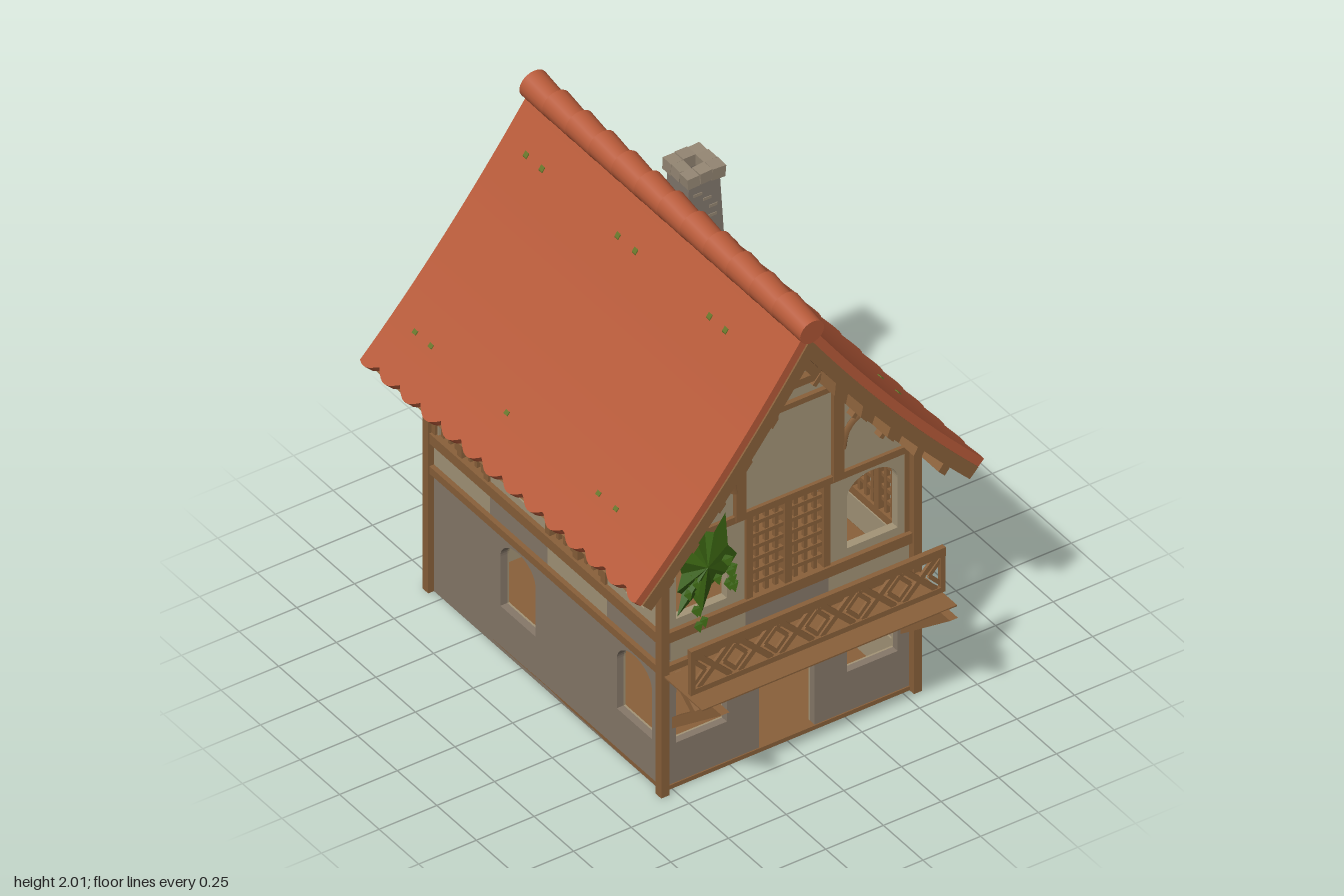
import * as THREE from 'three';

const mat = (name, color, extra = {}) => Object.assign(new THREE.MeshStandardMaterial({ color, ...extra }), { name });

export function createModel() {
  const M = {
    wood: mat('timber', 0x89603a),
    plaster: mat('plaster', 0xa39477),
    stone: mat('stone wall', 0x867869),
    tile: mat('roof tile', 0xb75a39),
    chimney: mat('chimney stone', 0x7f756a),
    cap: mat('cap stone', 0x948673),
    ivy: mat('ivy', 0x3a6412, { side: THREE.DoubleSide }),
    moss: mat('moss', 0x66752a),
  };
  const model = new THREE.Group();
  const house = new THREE.Group();
  house.name = 'house';
  house.position.z = -0.085;
  model.add(house);
  let seed = 7;
  const rnd = () => (seed = (seed * 16807) % 2147483647) / 2147483647;

  const add = (parent, name, geo, m) => {
    const mesh = new THREE.Mesh(geo, m);
    mesh.name = name;
    parent.add(mesh);
    return mesh;
  };
  const box = (p, name, m, x0, x1, y0, y1, z0, z1) => {
    const b = add(p, name, new THREE.BoxGeometry(x1 - x0, y1 - y0, z1 - z0), m);
    b.position.set((x0 + x1) / 2, (y0 + y1) / 2, (z0 + z1) / 2);
    return b;
  };
  // straight timber between two points of a facade
  const bar = (p, name, x1, y1, x2, y2, w, z0, z1) => {
    const b = add(p, name, new THREE.BoxGeometry(Math.hypot(x2 - x1, y2 - y1), w, z1 - z0), M.wood);
    b.position.set((x1 + x2) / 2, (y1 + y2) / 2, (z0 + z1) / 2);
    b.rotation.z = Math.atan2(y2 - y1, x2 - x1);
  };
  // flat plate from an outline, with arched openings [centre, halfWidth, bottom, top]
  const plate = (p, name, m, pts, holes, z0, z1) => {
    const s = new THREE.Shape(pts.map(([x, y]) => new THREE.Vector2(x, y)));
    for (const [c, w, b, t] of holes) {
      const r = w * 0.75, h = new THREE.Path();
      h.moveTo(c - w, b);
      h.lineTo(c + w, b);
      h.lineTo(c + w, t - r);
      h.absellipse(c, t - r, w, r, 0, Math.PI, false);
      s.holes.push(h);
    }
    const g = new THREE.ExtrudeGeometry(s, { depth: z1 - z0, bevelEnabled: false, curveSegments: 12 });
    return add(p, name, g.translate(0, 0, z0), m);
  };
  const rect = (x0, x1, y0, y1) => [[x0, y0], [x1, y0], [x1, y1], [x0, y1]];

  // roof curve, and a bent slab lying d0..d1 below it
  const roofY = x => 1.95 - 1.43 * x + 0.28 * x * x;
  const stretch = x => Math.hypot(1, 1.43 - 0.56 * x);
  const under = x => roofY(x) - 0.095 * stretch(x);
  const slab = (p, name, m, x0, x1, d0, d1, z0, z1, nx = 1, nz = 1, scallop = 0) => {
    const g = new THREE.BoxGeometry(1, 1, 1, nx, 1, nz), a = g.attributes.position;
    for (let i = 0; i < a.count; i++) {
      const t = a.getX(i) + 0.5, d = d0 + (d1 - d0) * (0.5 - a.getY(i)), z = z0 + (z1 - z0) * (a.getZ(i) + 0.5);
      let x = x0 + (x1 - x0) * t;
      if (t > 0.99) x -= scallop * (1 - Math.abs(Math.sin(Math.PI * z / 0.13)));
      const n = (1.43 - 0.56 * x) / stretch(x);
      x -= (x / 0.755) * n * d;
      a.setXYZ(i, x, roofY(x) - d * stretch(x), z);
    }
    g.computeVertexNormals();
    return add(p, name, g, m);
  };

  // roof halves
  for (const side of [1, -1]) {
    const half = new THREE.Group();
    half.name = side > 0 ? 'leftRoof' : 'rightRoof';
    half.scale.x = side;
    house.add(half);
    slab(half, 'roofTiles', M.tile, 0, 0.76, 0, 0.035, -0.875, 0.868, 24, 108, 0.025);
    slab(half, 'roofBoards', M.wood, 0, 0.752, 0.035, 0.088, -0.885, 0.875, 24, 1);
    for (const z of [-0.755, 0.725]) slab(half, 'gableRafter', M.wood, 0, 0.6, 0.085, 0.125, z, z + 0.03, 16, 1);
    for (const x of [0.14, 0.27, 0.4, 0.53, 0.65]) slab(half, 'purlin', M.wood, x, x + 0.03, 0.085, 0.125, -0.86, 0.85);
    for (const [x, zs] of [[0.125, [0.525, 0.425, -0.045, -0.155, -0.635, -0.735]], [0.605, [0.535, 0.425, -0.155, -0.635, -0.735]]])
      for (const z of zs) slab(half, 'mossPatch', M.moss, x, x + 0.012, -0.004, 0.003, z - 0.01, z + 0.012);
  }
  // overlapping ridge tiles, rising towards the back
  for (let i = 0; i < 12; i++) {
    const t = add(house, 'ridgeTile', new THREE.CylinderGeometry(0.052, 0.06, 0.17, 20), M.tile);
    t.position.set(0, 1.937, 0.8 - i * 0.145);
    t.rotation.x = Math.PI / 2 + 0.1;
  }

  // floors and corner posts
  box(house, 'groundFloor', M.wood, -0.54, 0.54, 0.002, 0.02, -0.73, 0.73);
  box(house, 'upperFloor', M.wood, -0.5, 0.5, 0.535, 0.565, -0.69, 0.69);
  for (const x of [-1, 1]) for (const z of [-1, 1])
    box(house, 'cornerPost', M.wood, x * 0.5475 - 0.0175, x * 0.5475 + 0.0175, 0, 1.1, z * 0.737 - 0.018, z * 0.737 + 0.018);

  const lattice = (p, x0, x1) => {
    const c = (x0 + x1) / 2, y0 = 0.71, y1 = 1.085;
    for (const x of [x0, c, x1]) box(p, 'latticePost', M.wood, x - 0.015, x + 0.015, y0, y1, -0.03, 0.01);
    for (let i = 1; i < 8; i++) if (i !== 4) {
      const x = x0 + (x1 - x0) * i / 8;
      box(p, 'latticeUpright', M.wood, x - 0.008, x + 0.008, y0, y1, -0.02, -0.004);
    }
    for (let i = 1; i < 7; i++) {
      const y = y0 + (y1 - y0) * i / 7;
      box(p, 'latticeCrossbar', M.wood, x0, x1, y - 0.008, y + 0.008, -0.018, 0);
    }
  };

  // one facade: lower wall, panel band, beams and upper bays
  const facade = (name, halfW, lowHoles, edges, bays, arch, place) => {
    const f = new THREE.Group();
    f.name = name;
    place(f);
    house.add(f);
    const w = halfW - 0.002;
    plate(f, 'lowerWall', M.stone, rect(-w, w, 0, 0.54), lowHoles, -0.03, 0);
    plate(f, 'lowerWallLining', M.plaster, rect(-w + 0.03, w - 0.03, 0.003, 0.54), lowHoles, -0.038, -0.03);
    box(f, 'lowerBeam', M.wood, -w, w, 0.535, 0.568, -0.03, 0.02);
    box(f, 'sillBeam', M.wood, -w, w, 0.67, 0.715, -0.03, 0.02);
    box(f, 'topBeam', M.wood, -w, w, 1.08, 1.11, -0.03, 0.015);
    bays.forEach((open, i) => {
      const a = edges[i], b = edges[i + 1];
      box(f, 'bandPanel', i % 2 ? M.stone : M.plaster, a, b, 0.56, 0.68, -0.035, 0);
      if (open) lattice(f, a + 0.012, b - 0.012);
      else plate(f, 'upperWall', M.plaster, rect(a, b, 0.7, 1.09), [[(a + b) / 2 + Math.sign(a + b) * arch[2], arch[0], 0.75, arch[1]]], -0.035, 0);
    });
    return f;
  };
  const ends = [-0.54, -0.18, 0.18, 0.54], winds = [[-0.37, 0.11, 0.196, 0.5], [0.37, 0.11, 0.196, 0.5]];
  const front = facade('frontFacade', 0.54, [...winds, [0, 0.12, 0.004, 0.456]], ends, [0, 1, 0], [0.11, 1.055, 0.01],
    f => f.position.set(0, 0, 0.725));
  const back = facade('backFacade', 0.54, winds, ends, [0, 1, 0], [0.11, 1.055, 0.01],
    f => { f.position.z = -0.725; f.rotation.y = Math.PI; });
  const bayEdges = [-0.725, -0.365, 0, 0.375, 0.725];
  const sides = [1, -1].map(s => facade(s > 0 ? 'leftFacade' : 'rightFacade', 0.725,
    [[-0.548 * s, 0.111, 0.196, 0.5], [0.188 * s, 0.111, 0.196, 0.5]], bayEdges, [1, 0, 1, 0], [0.06, 1.04, 0],
    f => { f.position.x = 0.54 * s; f.rotation.y = s * Math.PI / 2; }));

  // gables with their timber framing
  for (const f of [front, back]) {
    const xs = [0.56, 0.45, 0.34, 0.22, 0.1], top = xs.map(x => [x, under(x)]);
    plate(f, 'gableWall', M.plaster, [[-0.56, 1.085], [0.56, 1.085], ...top, [0, under(0)], ...top.map(([x, y]) => [-x, y]).reverse()], [], -0.03, 0);
    box(f, 'collarBeam', M.wood, -0.21, 0.21, 1.498, 1.522, 0, 0.02);
    box(f, 'upperCollar', M.wood, -0.145, 0.145, 1.588, 1.62, 0, 0.03);
    box(f, 'kingPost', M.wood, -0.012, 0.012, 1.6, 1.79, 0, 0.022);
    for (const s of [-1, 1]) {
      box(f, 'gablePost', M.wood, s * 0.212 - 0.022, s * 0.212 + 0.022, 1.09, 1.5, 0, 0.022);
      bar(f, 'kingBrace', s * 0.01, 1.66, s * 0.06, 1.71, 0.016, 0, 0.02);
      const c = new THREE.QuadraticBezierCurve3(new THREE.Vector3(s * 0.235, 1.22, 0.012),
        new THREE.Vector3(s * 0.245, 1.345, 0.012), new THREE.Vector3(s * 0.35, 1.345, 0.012));
      add(f, 'archedBrace', new THREE.TubeGeometry(c, 10, 0.016, 4), M.wood);
      for (const x of [0.13, 0.3, 0.42]) bar(f, 'rafterPeg', s * x, under(x), s * (x - 0.035), under(x) - 0.04, 0.02, 0, 0.035);
    }
  }

  // balcony: floor, railing with crossed slats, struts
  const balcony = new THREE.Group();
  balcony.name = 'balcony';
  front.add(balcony);
  box(balcony, 'balconyFloor', M.wood, -0.552, 0.552, 0.534, 0.54, 0, 0.27);
  box(balcony, 'topRail', M.wood, -0.552, 0.552, 0.717, 0.755, 0.178, 0.2);
  box(balcony, 'bottomRail', M.wood, -0.552, 0.552, 0.557, 0.58, 0.18, 0.198);
  for (const x of [-0.542, 0.542]) box(balcony, 'railPost', M.wood, x - 0.01, x + 0.01, 0.56, 0.74, 0.18, 0.198);
  for (let i = 0; i < 6; i++) {
    const c = -0.445 + i * 0.178, h = 0.07, m = 0.648;
    for (const s of [-1, 1]) {
      bar(balcony, 'railCross', c - h, m - s * h, c + h, m + s * h, 0.022, 0.182, 0.194);
      for (const e of [-1, 1]) bar(balcony, 'railChevron', c + s * 0.04, m, c + s * 0.092, m + e * 0.055, 0.016, 0.183, 0.193);
    }
  }
  for (const x of [-0.495, 0.495]) {
    const strut = new THREE.Group();
    strut.name = 'balconyStrut';
    strut.position.x = x;
    strut.rotation.y = -Math.PI / 2;
    balcony.add(strut);
    plate(strut, 'strutBeam', M.wood, [[0.02, 0.285], [0.335, 0.54], [0.275, 0.54], [0.02, 0.335]], [], -0.017, 0.017);
    bar(strut, 'strutBrace', 0.165, 0.425, 0.02, 0.53, 0.032, -0.014, 0.014);
  }

  // chimney: hollow tapered shaft with a ring of cap stones
  const chimney = new THREE.Group();
  chimney.name = 'chimney';
  chimney.position.set(0.35, 1.4, -0.375);
  house.add(chimney);
  const ring = new THREE.Shape(rect(-0.08, 0.08, -0.08, 0.08).map(p => new THREE.Vector2(...p)));
  ring.holes.push(new THREE.Path(rect(-0.042, 0.042, -0.042, 0.042).map(p => new THREE.Vector2(...p))));
  const shaft = new THREE.ExtrudeGeometry(ring, { depth: 0.32, bevelEnabled: false }).rotateX(-Math.PI / 2);
  const sp = shaft.attributes.position;
  for (let i = 0; i < sp.count; i++) {
    const k = 1 - 0.5 * sp.getY(i);
    sp.setXYZ(i, sp.getX(i) * k, sp.getY(i), sp.getZ(i) * k);
  }
  shaft.computeVertexNormals();
  add(chimney, 'chimneyShaft', shaft, M.chimney);
  for (let i = 0; i < 8; i++) {
    const x = [-1, 0, 1, 1, 1, 0, -1, -1][i], z = [-1, -1, -1, 0, 1, 1, 1, 0][i];
    const s = add(chimney, 'capStone', new THREE.BoxGeometry(0.05 + rnd() * 0.008, 0.042 + rnd() * 0.01, 0.05 + rnd() * 0.008), M.cap);
    s.position.set(x * 0.055, 0.335 + rnd() * 0.006, z * 0.055);
    s.rotation.set((rnd() - 0.5) * 0.15, (rnd() - 0.5) * 0.12, (rnd() - 0.5) * 0.15);
  }
  for (const [x, y] of [[0.01, 0.23], [0.035, 0.19], [0.03, 0.15], [-0.03, 0.26]])
    box(chimney, 'paleBrick', M.cap, x - 0.018, x + 0.018, y, y + 0.012, 0.065, 0.08 - 0.04 * y + 0.002);

  // ivy: a jagged bulging fan of foliage with loose hanging leaves
  const ivy = (f, outline, cx, cy, leaves) => {
    const v = [];
    outline.forEach(([x, y], i) => {
      const [x2, y2] = outline[(i + 1) % outline.length];
      v.push(cx, cy, 0.055, x, y, 0.02 + (i % 2) * 0.015, x2, y2, 0.02 + ((i + 1) % 2) * 0.015);
    });
    for (const [lx, ly, n, spread] of leaves) for (let i = 0; i < n; i++) {
      const x = lx + (rnd() - 0.5) * spread, y = ly + (rnd() - 0.5) * 0.1, z = 0.025 + rnd() * 0.025, r = 0.02;
      v.push(x - r, y + 0.008, z, x, y - r, z + 0.012, x + r, y + 0.01, z, x - r, y + 0.008, z, x + r, y + 0.01, z, x, y + r, z - 0.01);
    }
    const g = new THREE.BufferGeometry();
    g.setAttribute('position', new THREE.Float32BufferAttribute(v, 3));
    g.computeVertexNormals();
    add(f, 'ivy', g, M.ivy);
  };
  ivy(front, [[-0.28, 1.155], [-0.34, 1.1], [-0.37, 1.11], [-0.42, 1.1], [-0.43, 1.05], [-0.5, 1.04], [-0.47, 0.96], [-0.5, 0.9], [-0.47, 0.87],
    [-0.5, 0.79], [-0.42, 0.83], [-0.39, 0.77], [-0.34, 0.86], [-0.29, 0.9], [-0.23, 0.95], [-0.28, 1.02]], -0.38, 0.97,
  [[-0.27, 0.86, 9, 0.06], [-0.4, 0.76, 4, 0.05], [-0.37, 0.92, 8, 0.2]]);
  ivy(sides[0], [[-0.06, 0.99], [-0.25, 0.99], [-0.265, 0.93], [-0.22, 0.9], [-0.24, 0.84], [-0.19, 0.84], [-0.16, 0.72], [-0.12, 0.82],
    [-0.06, 0.8], [-0.08, 0.87], [-0.02, 0.92]], -0.15, 0.92, [[-0.15, 0.7, 9, 0.07], [-0.13, 0.78, 9, 0.1]]);

  return model;
}
